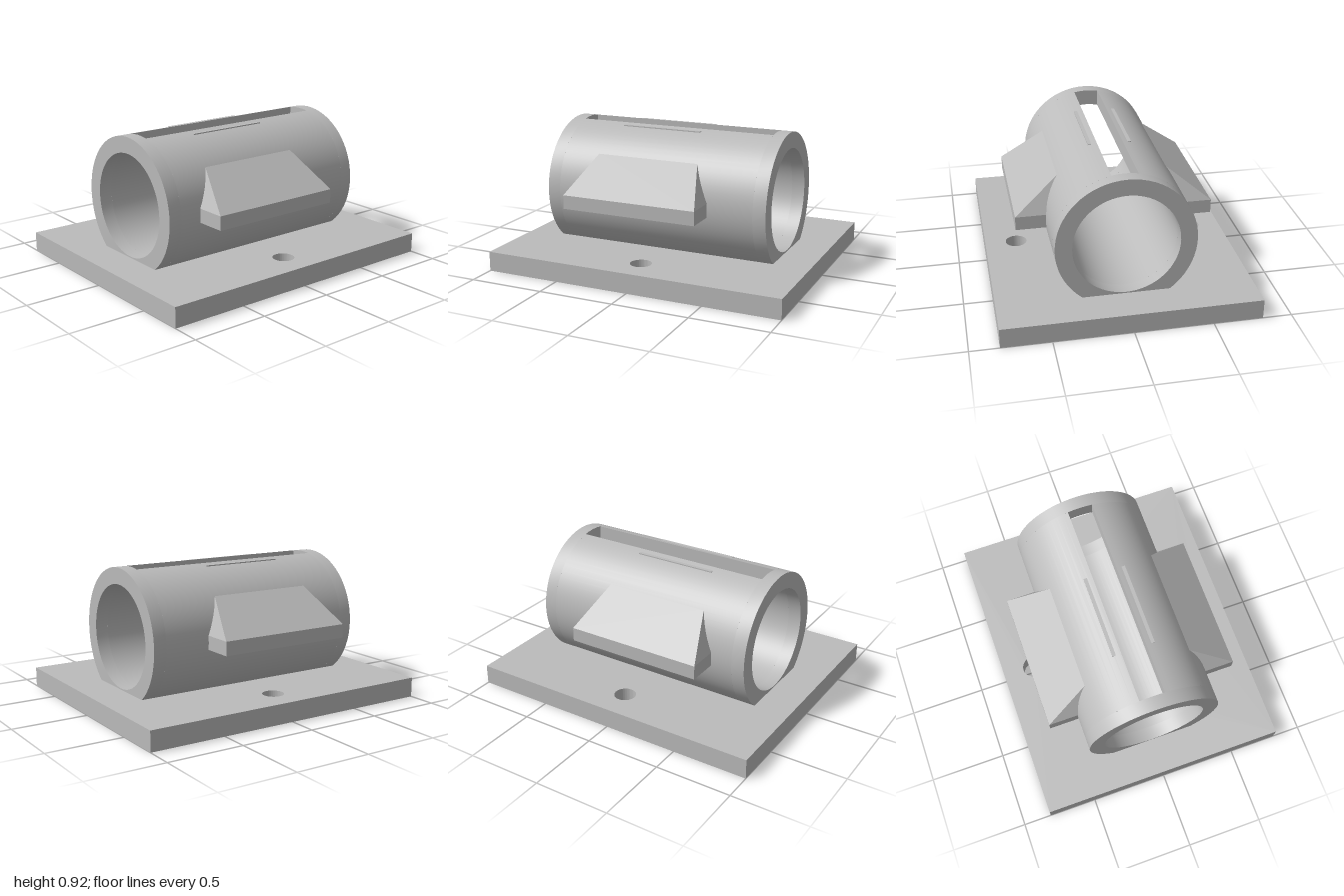
import * as THREE from 'three';
import { toCreasedNormals } from 'three/addons/utils/BufferGeometryUtils.js';
import { ConvexGeometry } from 'three/addons/geometries/ConvexGeometry.js';

const AXIS_Y = 0.475, R_OUT = 0.443, R_IN = 0.337, SLOT = 0.083;

export function createModel() {
  const group = new THREE.Group();
  const grey = new THREE.MeshStandardMaterial({ color: 0xbbbbbb });
  grey.name = 'plain grey';

  const add = (name, geometry) => {
    const mesh = new THREE.Mesh(geometry, grey);
    mesh.name = name;
    group.add(mesh);
    return mesh;
  };
  const extrude = (shape, depth) => toCreasedNormals(
    new THREE.ExtrudeGeometry(shape, { depth, bevelEnabled: false, curveSegments: 32 }), 0.5);

  // Base plate with two screw holes
  const plate = new THREE.Shape([[-1, -0.815], [1, -0.815], [1, 0.815], [-1, 0.815]]
    .map(([x, y]) => new THREE.Vector2(x, y)));
  for (const z of [-0.607, 0.607]) {
    plate.holes.push(new THREE.Path().absarc(0, z, 0.07, 0, Math.PI * 2, true));
  }
  add('basePlate', extrude(plate, 0.13).rotateX(-Math.PI / 2));

  // Tube: two closed end rings and a slotted middle
  const ring = new THREE.Shape().absarc(0, 0, R_OUT, 0, Math.PI * 2, false);
  ring.holes.push(new THREE.Path().absarc(0, 0, R_IN, 0, Math.PI * 2, true));

  const a = Math.asin(SLOT / R_OUT), b = Math.asin(SLOT / R_IN), up = Math.PI / 2;
  const slotted = new THREE.Shape();
  slotted.absarc(0, 0, R_OUT, up + a, up + Math.PI * 2 - a, false);
  slotted.absarc(0, 0, R_IN, up + Math.PI * 2 - b, up + b, true);
  slotted.closePath();

  const tubePart = (name, shape, x0, x1) => add(name,
    extrude(shape, x1 - x0).rotateY(Math.PI / 2).translate(x0, AXIS_Y, 0));
  tubePart('tubeEndRight', ring, -0.765, -0.678);
  tubePart('tubeSlottedMiddle', slotted, -0.678, 0.675);
  tubePart('tubeEndLeft', ring, 0.675, 0.76);

  for (const side of [1, -1]) {
    const name = side > 0 ? 'front' : 'back';

    // Side lug: straight lower edge, tapering up into the tube wall
    const points = [];
    for (const [y, zIn, zOut, x0, x1] of [
      [0.43, 0.37, 0.637, -0.535, 0.375],
      [0.52, 0.362, 0.637, -0.535, 0.375],
      [0.748, 0.344, 0.346, -0.424, 0.27],
    ]) {
      for (const x of [x0, x1]) for (const z of [zIn, zOut]) {
        points.push(new THREE.Vector3(x, y, z * side));
      }
    }
    add(name + 'Lug', new ConvexGeometry(points));

    // Thin ridge beside the slot
    add(name + 'Ridge', new THREE.BoxGeometry(0.55, 0.04, 0.04))
      .position.set(-0.077, 0.882, 0.12 * side);
  }
  return group;
}
